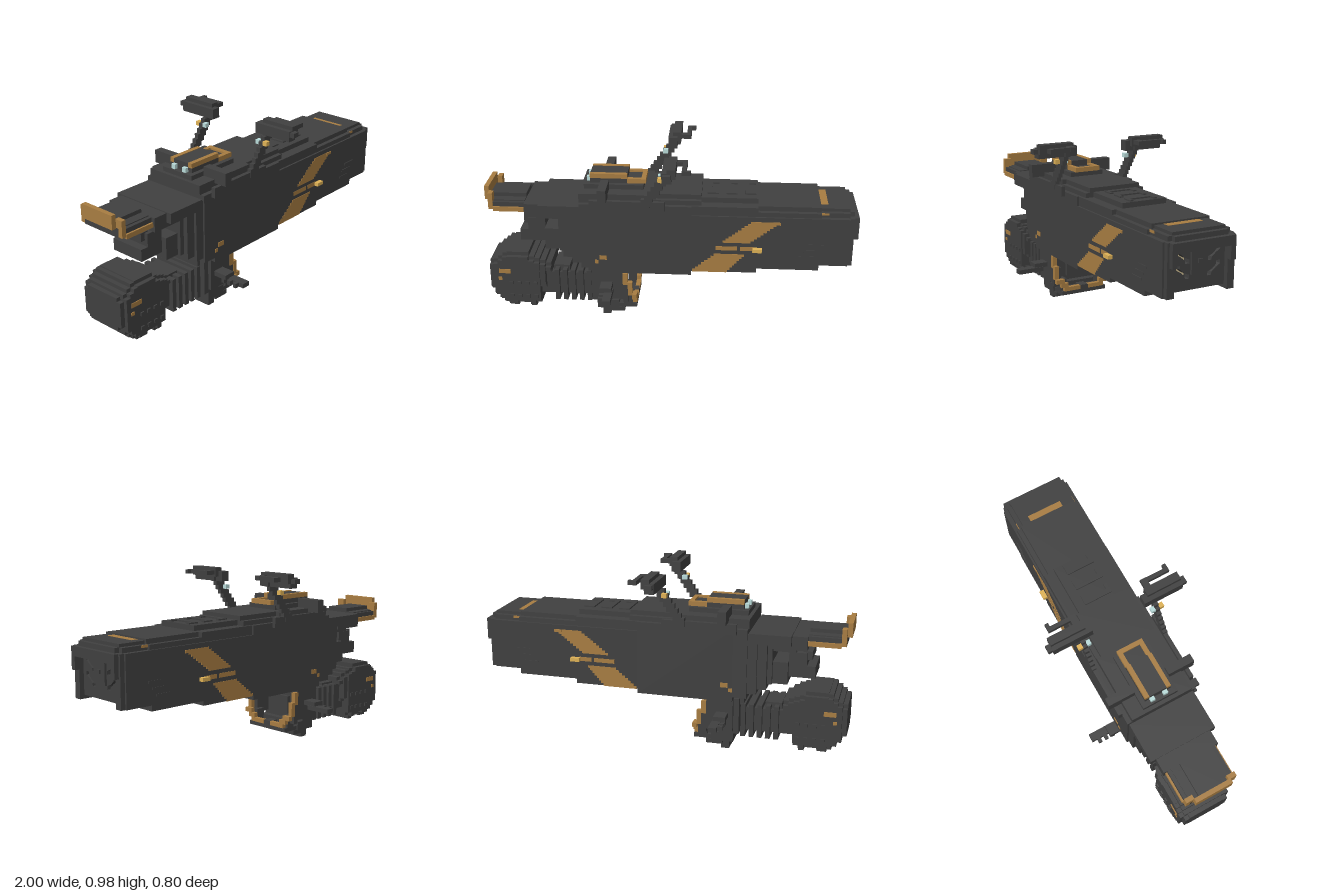
import * as THREE from 'three';

const mat = (name, color) => {
  const m = new THREE.MeshStandardMaterial({ color });
  m.name = name;
  return m;
};

export function createModel() {
  const model = new THREE.Group();
  model.name = 'blockyCannon';
  const dark = mat('charcoal', 0x404040), orange = mat('bronze', 0xa87d42);
  const yellow = mat('amber', 0xdfb256), cream = mat('cream', 0xcdbb90), teal = mat('paleTeal', 0xbadcda);

  const part = (name) => {
    const g = new THREE.Group();
    g.name = name;
    model.add(g);
    return g;
  };
  // Box given by its limits on each axis
  const box = (g, m, x0, x1, y0, y1, z0, z1) => {
    const mesh = new THREE.Mesh(new THREE.BoxGeometry(x1 - x0, y1 - y0, z1 - z0), m);
    mesh.position.set((x0 + x1) / 2, (y0 + y1) / 2, (z0 + z1) / 2);
    mesh.name = g.name + 'Block';
    g.add(mesh);
  };
  const mid = (g, m, x0, x1, y0, y1, z) => box(g, m, x0, x1, y0, y1, -z, z);
  const pair = (g, m, x0, x1, y0, y1, z0, z1) => {
    box(g, m, x0, x1, y0, y1, z0, z1);
    box(g, m, x0, x1, y0, y1, -z1, -z0);
  };

  // Receiver: stepped rear half of the body
  const receiver = part('receiver');
  [[-0.6, -0.575, 0.4, 0.65, 0.15], [-0.575, -0.525, 0.375, 0.65, 0.175], [-0.525, -0.475, 0.35, 0.675, 0.19],
    [-0.475, -0.4, 0.325, 0.7, 0.2], [-0.4, 0.12, 0.3, 0.7, 0.2]].forEach(([a, b, c, d, z]) => mid(receiver, dark, a, b, c, d, z));
  mid(receiver, dark, -0.48, -0.1, 0.7, 0.75, 0.175);
  mid(receiver, dark, -0.1, 0.17, 0.7, 0.75, 0.15);
  pair(receiver, dark, -0.1, 0.17, 0.7, 0.725, 0.15, 0.175);
  mid(receiver, dark, -0.46, -0.14, 0.75, 0.775, 0.1);
  pair(receiver, dark, -0.42, -0.02, 0.675, 0.73, 0.2, 0.222);
  pair(receiver, dark, -0.37, -0.325, 0.73, 0.8, 0.1, 0.25);
  pair(receiver, orange, -0.375, -0.335, 0.378, 0.403, 0.2, 0.203);
  pair(receiver, orange, -0.4, -0.38, 0.355, 0.375, 0.2, 0.203);

  // Barrel housing with bevelled top and stepped belly
  const barrel = part('barrelHousing');
  mid(barrel, dark, 0.12, 0.8, 0.35, 0.65, 0.2);
  mid(barrel, dark, 0.12, 0.47, 0.325, 0.35, 0.2);
  mid(barrel, dark, 0.12, 0.8, 0.65, 0.675, 0.19);
  mid(barrel, dark, 0.12, 0.8, 0.675, 0.7, 0.165);
  mid(barrel, dark, 0.12, 0.47, 0.7, 0.728, 0.13);
  pair(barrel, dark, 0.12, 0.47, 0.675, 0.7, 0.165, 0.19);
  mid(barrel, dark, 0.8, 0.86, 0.4, 0.65, 0.2);
  mid(barrel, dark, 0.8, 0.95, 0.65, 0.675, 0.175);
  mid(barrel, dark, 0.84, 0.95, 0.675, 0.691, 0.15);
  pair(barrel, dark, 0.8, 0.84, 0.675, 0.691, 0.1, 0.15);
  for (let i = 0; i < 3; i++) {
    pair(barrel, dark, 0.69 + i * 0.025, 0.77 + i * 0.025, 0.42 + i * 0.035, 0.432 + i * 0.035, 0.2, 0.203);
    mid(barrel, dark, 0.2 + i * 0.1, 0.225 + i * 0.1, 0.728, 0.735, 0.08);
    pair(barrel, dark, 0.225 + i * 0.1, 0.26 + i * 0.1, 0.728, 0.735, 0.06, 0.08);
  }
  mid(barrel, orange, 0.8, 0.84, 0.675, 0.692, 0.1);
  pair(barrel, orange, 0.8, 0.84, 0.662, 0.675, 0.174, 0.1765);

  // Muzzle: open-bottomed frame around a plate with slanted slots
  const muzzle = part('muzzle');
  pair(muzzle, dark, 0.8, 0.95, 0.38, 0.65, 0.15, 0.2);
  pair(muzzle, dark, 0.95, 0.975, 0.38, 0.65, 0.15, 0.19);
  pair(muzzle, dark, 0.975, 1, 0.53, 0.65, 0.15, 0.178);
  mid(muzzle, dark, 0.86, 1, 0.6, 0.65, 0.15);
  mid(muzzle, dark, 0.95, 0.975, 0.65, 0.675, 0.15);
  mid(muzzle, dark, 0.95, 0.962, 0.475, 0.6, 0.045);
  mid(muzzle, dark, 0.962, 0.97, 0.53, 0.55, 0.012);
  const face = new THREE.Shape([[-0.15, 0.4], [0.15, 0.4], [0.15, 0.6], [-0.15, 0.6]].map((p) => new THREE.Vector2(...p)));
  // Slot outline: two short bars joined by a thin diagonal
  const slot = [[0.125, 0.598], [0.102, 0.598], [0.102, 0.58], [0.08, 0.56], [0.05, 0.548], [0.05, 0.53],
    [0.074, 0.53], [0.076, 0.545], [0.1, 0.565], [0.125, 0.58]];
  for (const drop of [0, 0.074])
    for (const side of [1, -1])
      face.holes.push(new THREE.Path(slot.map(([z, y]) => new THREE.Vector2(z * side, y - drop))));
  const plate = new THREE.Mesh(new THREE.ExtrudeGeometry(face, { depth: 0.04, bevelEnabled: false }), dark);
  plate.name = 'slottedPlate';
  plate.rotation.y = Math.PI / 2;
  plate.position.x = 0.91;
  muzzle.add(plate);
  for (const y of [0.525, 0.453]) pair(muzzle, cream, 0.89, 0.895, y, y + 0.074, 0.045, 0.13);

  // Slanted painted stripe on both flanks, one row per step
  const stripe = part('sideStripe');
  for (let i = 0; i < 10; i++) {
    const s = i * 0.0165, y = 0.5 + i * 0.0125;
    pair(stripe, orange, 0.285 + s, 0.435 + s, y, y + 0.0125, 0.2, 0.202);
  }
  for (let i = 0; i < 8; i++) {
    const s = i * 0.0165, y = 0.325 + i * 0.0135;
    pair(stripe, orange, 0.125 + s, 0.315 + s * 0.75, y, y + 0.0135, 0.2, 0.202);
  }
  pair(stripe, orange, 0.55, 0.59, 0.61, 0.625, 0.2, 0.205);
  pair(stripe, orange, 0.25, 0.365, 0.455, 0.478, 0.2, 0.202);
  pair(stripe, orange, 0.38, 0.45, 0.455, 0.478, 0.2, 0.202);
  pair(stripe, yellow, 0.445, 0.495, 0.455, 0.475, 0.2, 0.225);
  mid(stripe, orange, 0.125, 0.31, 0.322, 0.325, 0.2);

  // Sight block on the top deck, trimmed on three sides
  const sight = part('topSight');
  mid(sight, dark, -0.43, -0.23, 0.775, 0.822, 0.05);
  mid(sight, dark, -0.23, -0.155, 0.775, 0.79, 0.05);
  pair(sight, orange, -0.43, -0.23, 0.8, 0.825, 0.05, 0.075);
  pair(sight, orange, -0.23, -0.155, 0.775, 0.8, 0.05, 0.075);
  mid(sight, orange, -0.155, -0.13, 0.775, 0.8, 0.075);
  pair(sight, dark, -0.43, -0.23, 0.775, 0.8, 0.05, 0.075);
  pair(sight, teal, -0.45, -0.43, 0.775, 0.8, 0.025, 0.05);

  // Swept arms carrying crossbars
  const arms = part('sweptArms');
  for (let i = 0; i < 9; i++)
    pair(arms, dark, -0.145 + i * 0.0175, -0.1 + i * 0.0175, 0.7 + i * 0.025, 0.745 + i * 0.025, 0.2, 0.225);
  pair(arms, dark, -0.025, 0.025, 0.9, 0.955, 0.15, 0.375);
  pair(arms, dark, 0, 0.045, 0.925, 0.975, 0.18, 0.375);
  pair(arms, dark, -0.02, 0.02, 0.925, 0.95, 0.375, 0.4);
  pair(arms, dark, 0.045, 0.1, 0.937, 0.96, 0.19, 0.225);
  pair(arms, dark, 0.075, 0.098, 0.937, 0.96, 0.2, 0.35);
  pair(arms, dark, 0.08, 0.12, 0.937, 0.96, 0.33, 0.35);
  pair(arms, yellow, -0.055, -0.028, 0.853, 0.876, 0.225, 0.25);
  pair(arms, teal, -0.055, -0.028, 0.853, 0.876, 0.177, 0.2);

  // Upper tail with trimmed end
  const tail = part('upperTail');
  mid(tail, dark, -0.7, -0.48, 0.625, 0.68, 0.19);
  mid(tail, dark, -0.78, -0.6, 0.6, 0.675, 0.16);
  mid(tail, dark, -0.72, -0.6, 0.575, 0.6, 0.12);
  mid(tail, dark, -0.975, -0.78, 0.63, 0.68, 0.12);
  mid(tail, dark, -0.975, -0.78, 0.68, 0.7, 0.07);
  pair(tail, dark, -0.95, -0.75, 0.65, 0.675, 0.12, 0.14);
  pair(tail, orange, -0.95, -0.78, 0.625, 0.65, 0.12, 0.15);
  pair(tail, orange, -0.975, -0.95, 0.635, 0.725, 0.1, 0.145);
  mid(tail, orange, -1, -0.975, 0.675, 0.75, 0.105);

  // Stepped link between tail and shoulder stock
  const link = part('rearLink');
  mid(link, dark, -0.8, -0.75, 0.53, 0.575, 0.08);
  mid(link, dark, -0.775, -0.68, 0.5, 0.57, 0.1);
  mid(link, dark, -0.82, -0.68, 0.435, 0.5, 0.1);
  mid(link, dark, -0.68, -0.6, 0.4, 0.52, 0.13);

  // Shoulder stock: vertical slices following a rounded outline
  const stock = part('shoulderStock');
  [[-1, -0.975, 0.13, 0.31, 0.13], [-0.975, -0.95, 0.1, 0.325, 0.15], [-0.95, -0.925, 0.075, 0.345, 0.15],
    [-0.925, -0.9, 0.055, 0.365, 0.15], [-0.9, -0.85, 0.04, 0.37, 0.15], [-0.85, -0.78, 0.055, 0.37, 0.15],
    [-0.78, -0.75, 0.035, 0.345, 0.15], [-0.75, -0.72, 0.06, 0.335, 0.15], [-0.72, -0.69, 0.15, 0.32, 0.14],
    [-0.69, -0.66, 0.24, 0.3, 0.13]].forEach(([a, b, c, d, z]) => {
    mid(stock, dark, a, b, c, d, z - 0.025);
    pair(stock, dark, a, b, c + 0.02, d - 0.02, z - 0.025, z);
  });
  pair(stock, orange, -0.945, -0.88, 0.25, 0.275, 0.15, 0.154);
  pair(stock, orange, -0.95, -0.93, 0.207, 0.225, 0.15, 0.154);
  for (let i = 0; i < 8; i++)
    pair(stock, dark, -0.89 + (i % 4) * 0.045, -0.87 + (i % 4) * 0.045, 0.1 + (i > 3 ? 0.08 : 0), 0.12 + (i > 3 ? 0.08 : 0), 0.15, 0.157);

  // Ribbed bellows joining stock and grip
  const bellows = part('bellows');
  mid(bellows, dark, -0.73, -0.4, 0.11, 0.24, 0.1);
  mid(bellows, dark, -0.65, -0.56, 0.225, 0.275, 0.08);
  for (let i = 0; i < 5; i++) mid(bellows, dark, -0.64 + i * 0.045, -0.615 + i * 0.045, 0.08, 0.265, 0.125);

  // Grip: solid core with cheeks reaching forward, feet and side pegs
  const grip = part('grip');
  mid(grip, dark, -0.43, -0.32, 0.1, 0.3, 0.15);
  mid(grip, dark, -0.45, -0.4, 0.26, 0.33, 0.12);
  pair(grip, dark, -0.4, -0.255, 0.12, 0.3, 0.125, 0.17);
  pair(grip, dark, -0.255, -0.228, 0.1, 0.21, 0.125, 0.17);
  pair(grip, dark, -0.255, -0.205, 0.075, 0.145, 0.1, 0.14);
  mid(grip, dark, -0.4, -0.28, 0.05, 0.1, 0.15);
  pair(grip, dark, -0.375, -0.33, 0, 0.05, 0.025, 0.125);
  pair(grip, dark, -0.34, -0.25, 0.03, 0.055, 0.025, 0.145);
  pair(grip, dark, -0.375, -0.31, 0.2, 0.226, 0.17, 0.25);
  pair(grip, dark, -0.35, -0.305, 0.178, 0.203, 0.2, 0.35);
  for (let i = 0; i < 3; i++) pair(grip, dark, -0.375, -0.35, 0.178, 0.203, 0.22 + i * 0.04, 0.24 + i * 0.04);
  mid(grip, dark, -0.32, -0.3, 0.13, 0.23, 0.05);
  mid(grip, cream, -0.32, -0.312, 0.253, 0.277, 0.05);

  // Trigger guard hoop
  const guard = part('triggerGuard');
  pair(guard, orange, -0.255, -0.228, 0.21, 0.28, 0.15, 0.175);
  pair(guard, orange, -0.228, -0.203, 0.145, 0.225, 0.15, 0.175);
  pair(guard, orange, -0.205, -0.18, 0.125, 0.15, 0.125, 0.175);
  pair(guard, orange, -0.205, -0.18, 0.1, 0.125, 0.1, 0.145);
  pair(guard, orange, -0.205, -0.18, 0.077, 0.1, 0.025, 0.125);
  mid(guard, dark, -0.28, -0.182, 0.055, 0.077, 0.14);
  mid(guard, dark, -0.24, -0.182, 0.077, 0.1, 0.025);
  return model;
}
